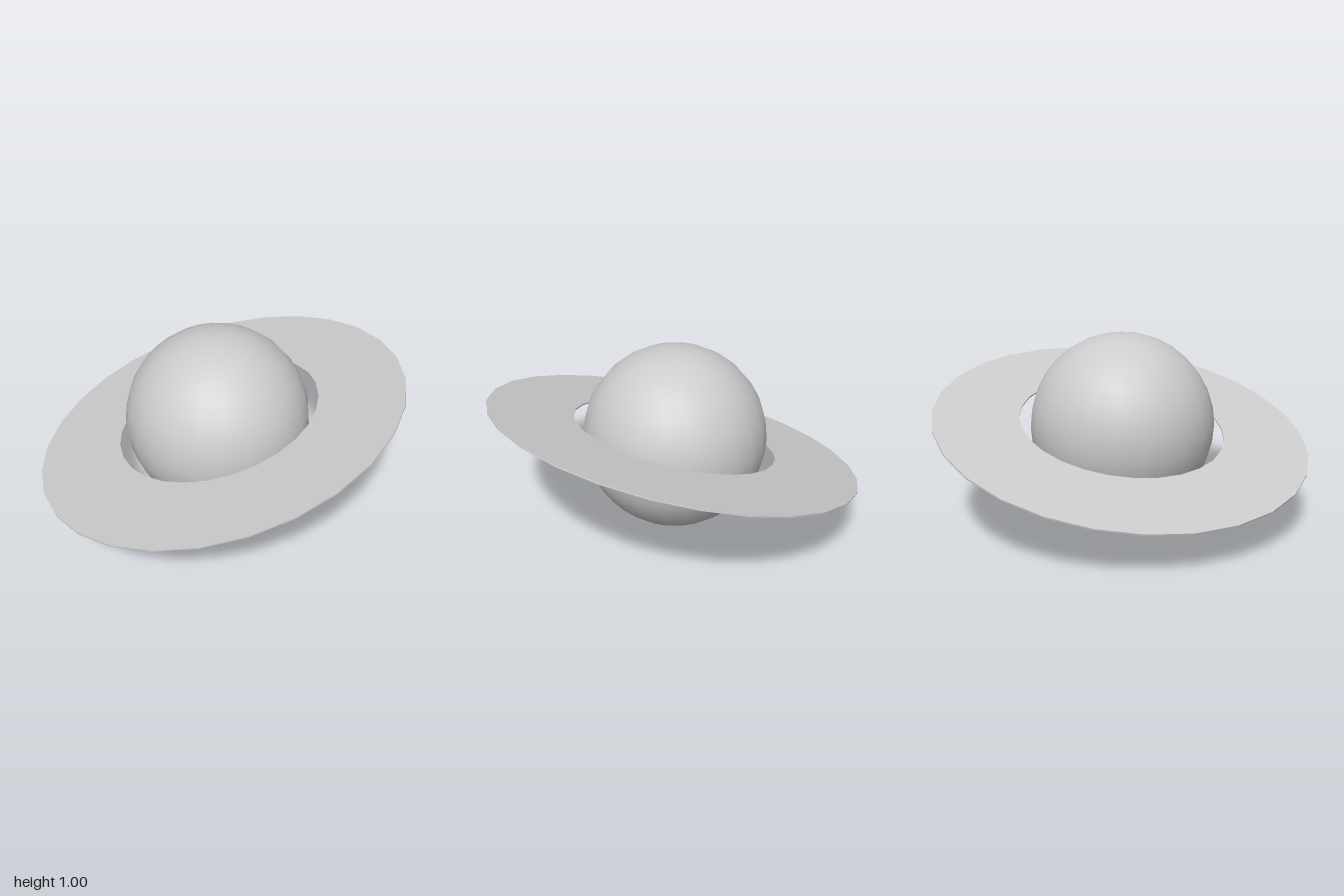
import * as THREE from 'three';

export function createModel() {
  const model = new THREE.Group();
  const centerY = 0.5;

  // Smooth globe
  const globe = new THREE.Mesh(
    new THREE.SphereGeometry(0.5, 24, 16),
    new THREE.MeshStandardMaterial({ color: 0xcccccc })
  );
  globe.name = 'globe';
  globe.position.y = centerY;
  model.add(globe);

  // Thin flat ring with 28 sides, revolved from a closed rectangular profile
  const inner = 0.561, outer = 1.02, half = 0.004;
  const profile = [
    [inner, -half], [outer, -half], [outer, half], [inner, half], [inner, -half],
  ].map(([r, y]) => new THREE.Vector2(r, y));
  const ring = new THREE.Mesh(
    new THREE.LatheGeometry(profile, 28),
    new THREE.MeshStandardMaterial({ color: 0xcccccc, flatShading: true })
  );
  ring.name = 'ring';
  ring.position.y = centerY;

  // Tilt the ring so that it rises towards the front left
  const normal = new THREE.Vector3(-0.2, 0.959, -0.2).normalize();
  ring.quaternion.setFromUnitVectors(new THREE.Vector3(0, 1, 0), normal);
  model.add(ring);

  return model;
}
